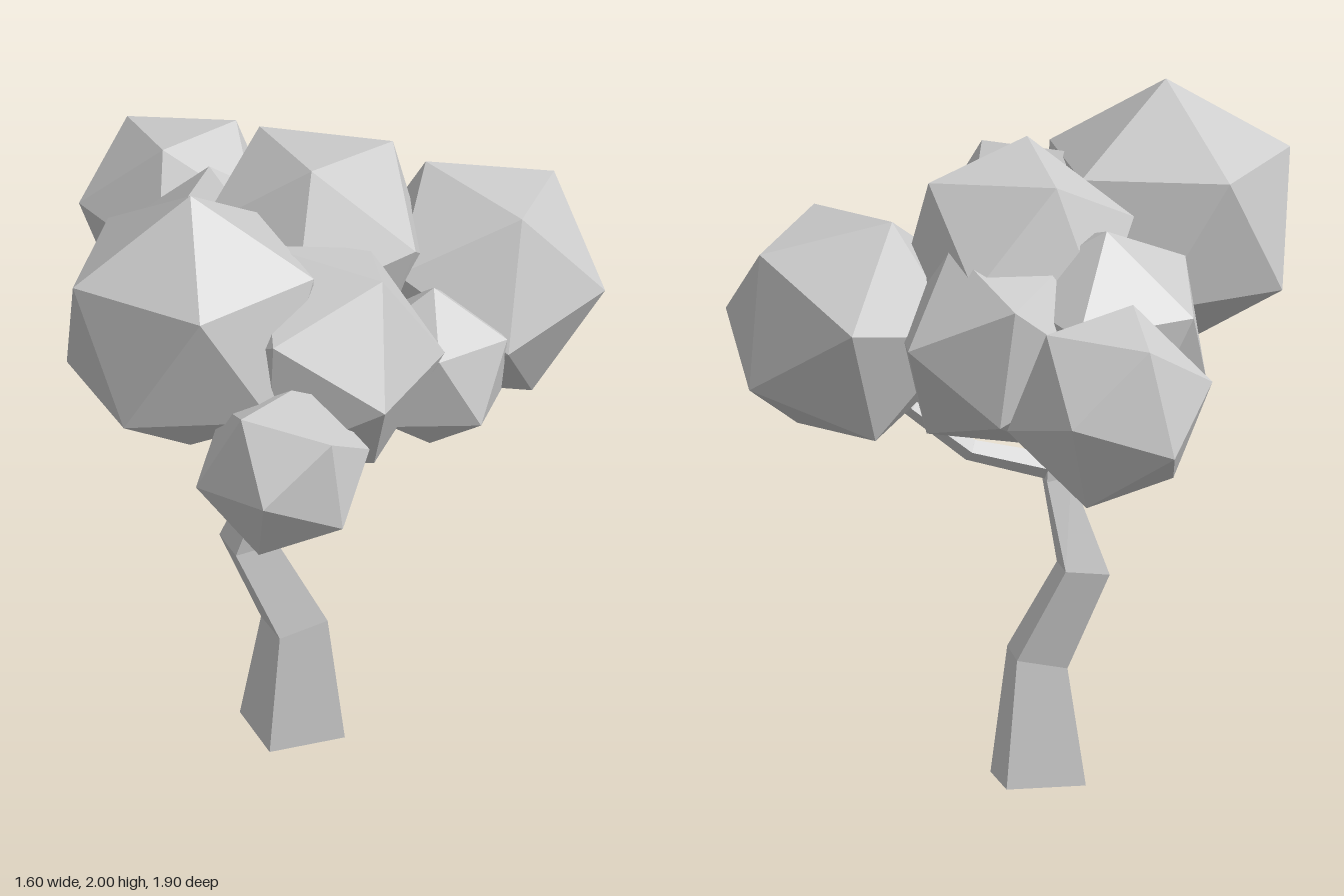
import * as THREE from 'three';

const V = (a) => new THREE.Vector3(...a);
const material = new THREE.MeshStandardMaterial({ color: 0xcccccc, flatShading: true });

// Orthonormal basis whose first axis is a and whose second lies towards b
function basis(a, b) {
  const e1 = a.clone().normalize();
  const e2 = b.clone().addScaledVector(e1, -b.dot(e1)).normalize();
  return new THREE.Matrix4().makeBasis(e1, e2, e1.clone().cross(e2));
}

// Icosahedron with one corner pointing at `pole` and the next one towards `next`
function foliage(centre, radius, pole, next) {
  const t = (1 + Math.sqrt(5)) / 2;
  const c = V(centre);
  const turn = basis(V(pole).sub(c), V(next).sub(c))
    .multiply(basis(V([0, 1, t]), V([0, -1, t])).transpose());
  const geometry = new THREE.IcosahedronGeometry(radius, 0).applyMatrix4(turn);
  geometry.translate(c.x, c.y, c.z);
  return geometry;
}

// Four-sided tapering limb through points [x, y, z, radius], closed at both ends
function limb(points, ref) {
  const pos = [], index = [], n = 4;
  const p = points.map(([x, y, z]) => V([x, y, z]));
  p.forEach((c, i) => {
    const dir = p[Math.min(i + 1, p.length - 1)].clone().sub(p[Math.max(i - 1, 0)]).normalize();
    const u = V(ref).addScaledVector(dir, -V(ref).dot(dir)).normalize();
    const v = dir.clone().cross(u);
    for (let k = 0; k < n; k++) {
      const a = (k / n) * Math.PI * 2, r = points[i][3];
      pos.push(...c.clone().addScaledVector(u, r * Math.cos(a)).addScaledVector(v, r * Math.sin(a)).toArray());
    }
  });
  for (let i = 0; i < p.length - 1; i++) {
    for (let k = 0; k < n; k++) {
      const a = i * n + k, b = i * n + (k + 1) % n;
      index.push(a, b, b + n, a, b + n, a + n);
    }
  }
  const e = (p.length - 1) * n;
  index.push(0, 2, 1, 0, 3, 2, e, e + 1, e + 2, e, e + 2, e + 3);
  const geometry = new THREE.BufferGeometry();
  geometry.setAttribute('position', new THREE.Float32BufferAttribute(pos, 3));
  geometry.setIndex(index);
  const flat = geometry.toNonIndexed();
  flat.computeVertexNormals();
  return flat;
}

export function createModel() {
  const group = new THREE.Group();
  const add = (name, geometry) => {
    const mesh = new THREE.Mesh(geometry, material);
    mesh.name = name;
    group.add(mesh);
  };

  // Crooked square trunk
  add('trunk', limb([
    [-0.06, 0.01, -0.067, 0.165], [-0.05, 0.37, -0.05, 0.107],
    [-0.175, 0.64, -0.005, 0.092], [-0.09, 0.9, 0, 0.052], [-0.09, 0.96, 0, 0.045],
  ], [0.985, 0, 0.17]));

  // Branches fanning out from the trunk top
  const up = [0, 1, 0], side = [1, 0, 0.2];
  const branches = {
    backRightBranch: [[[-0.09, 0.93, 0, 0.04], [-0.27, 0.97, -0.14, 0.032], [-0.48, 1.14, -0.46, 0.022], [-0.53, 1.3, -0.6, 0.018]], up],
    backRightTwig: [[[-0.42, 1.09, -0.37, 0.02], [-0.4, 1.2, -0.3, 0.015], [-0.35, 1.35, -0.2, 0.012]], side],
    backLeftBranch: [[[-0.09, 0.93, 0, 0.04], [0.13, 0.99, -0.12, 0.032], [0.27, 1.13, -0.23, 0.024], [0.4, 1.32, -0.33, 0.018]], up],
    leftTwig: [[[0.13, 0.99, -0.12, 0.025], [0.25, 1.1, -0.04, 0.02], [0.35, 1.25, 0, 0.014]], up],
    frontBranch: [[[-0.09, 0.93, 0, 0.04], [-0.06, 1.01, 0.16, 0.032], [0.0, 1.1, 0.32, 0.024], [0.07, 1.19, 0.6, 0.018]], up],
    frontTwig: [[[-0.02, 1.08, 0.28, 0.022], [-0.08, 1.17, 0.3, 0.02], [-0.18, 1.38, 0.38, 0.015]], side],
    centreBranch: [[[-0.09, 0.93, 0, 0.035], [-0.09, 1.13, 0, 0.028], [-0.05, 1.4, -0.1, 0.022]], side],
  };
  for (const [name, [points, ref]] of Object.entries(branches)) add(name, limb(points, ref));

  // Leaf clumps: centre, radius, one corner, a neighbouring corner
  const clumps = {
    frontFoliage: [[-0.24, 1.59, 0.44], 0.41, [-0.24, 2, 0.44], [0.13, 1.775, 0.44]],
    backLeftFoliage: [[0.425, 1.4, -0.35], 0.375, [0.8, 1.4, -0.35], [0.6, 1.7, -0.185]],
    backRightFoliage: [[-0.54, 1.34, -0.645], 0.305, [-0.555, 1.35, -0.95], [-0.53, 1.07, -0.78]],
    lowFrontFoliage: [[0.095, 1.28, 0.69], 0.26, [0.1, 1.28, 0.95], [0, 1.49, 0.81]],
    frontLeftFoliage: [[0.115, 1.465, 0.33], 0.365, [0.32, 1.765, 0.39], [0.46, 1.47, 0.22]],
    leftFoliage: [[0.37, 1.285, 0], 0.247, [0.585, 1.39, -0.01], [0.545, 1.175, 0.14]],
    rightFoliage: [[-0.3, 1.4, -0.15], 0.34, [-0.62, 1.5, -0.22], [-0.575, 1.2, 0.075]],
    topFoliage: [[-0.01, 1.575, -0.125], 0.37, [0.025, 1.915, 0.05], [0.18, 1.8, -0.33]],
    backFoliage: [[-0.05, 1.38, -0.33], 0.33, [0.11, 1.42, -0.62], [-0.15, 1.55, -0.61]],
  };
  for (const [name, args] of Object.entries(clumps)) add(name, foliage(...args));

  return group;
}
